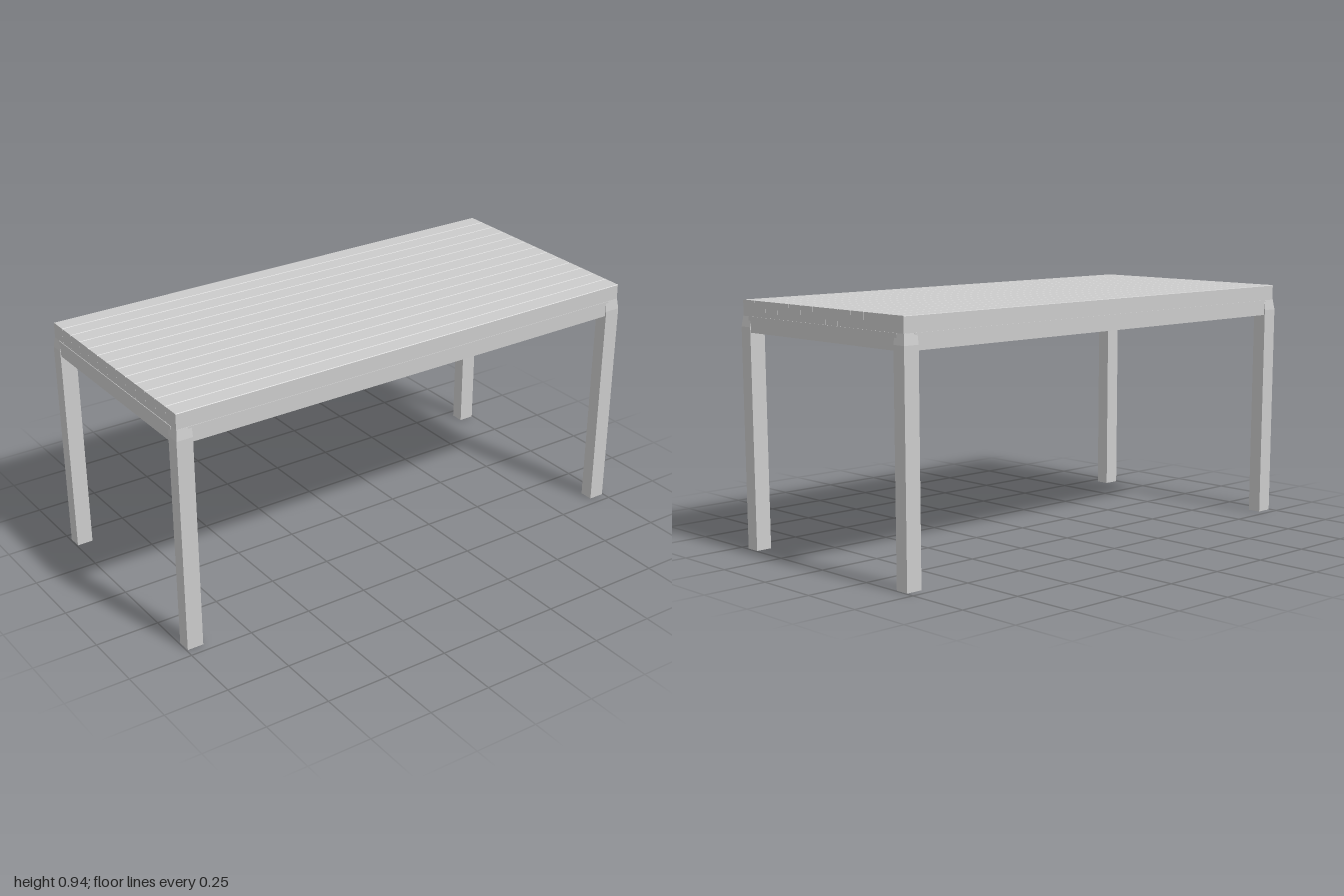
import * as THREE from 'three';

const material = new THREE.MeshStandardMaterial({ color: 0xcccccc, flatShading: true });
const openMaterial = new THREE.MeshStandardMaterial({ color: 0xcccccc, flatShading: true, side: THREE.DoubleSide });

const FRAME_BOTTOM = 0.825, FRAME_TOP = 0.885, TABLE_TOP = 0.945;
const HALF_X = 0.995, HALF_Z = 0.46, RAIL = 0.048;

function addMesh(parent, name, geometry, x, y, z, mat = material) {
  const mesh = new THREE.Mesh(geometry, mat);
  mesh.name = name;
  mesh.position.set(x, y, z);
  parent.add(mesh);
}

// Hollow post, open at the foot, leaning out slightly and drawn in at the shoulder
function legGeometry(sx, sz) {
  const g = new THREE.BoxGeometry(0.064, FRAME_TOP, 0.055, 1, 2, 1);
  const p = g.attributes.position;
  for (let i = 0; i < p.count; i++) {
    const y = p.getY(i) + FRAME_TOP / 2;
    const atFoot = y < 0.01, atTop = y > FRAME_TOP - 0.01;
    const outer = p.getX(i) * sx > 0, outerZ = p.getZ(i) * sz > 0;
    let dx = atFoot ? -0.005 : 0, dz = atFoot ? -0.003 : 0;
    if (atTop && outer) dx = -0.005;
    if (atTop && outerZ) dz = -0.006;
    const level = atFoot ? 0 : atTop ? FRAME_TOP : 0.845;
    p.setXYZ(i, p.getX(i) + sx * dx, level, p.getZ(i) + sz * dz);
  }
  const index = Array.from(g.index.array);
  index.splice(30, 6); // remove the foot cap
  g.setIndex(index);
  g.clearGroups();
  g.computeVertexNormals();
  return g;
}

// Board with finely bevelled upper edges, running along x
function plankGeometry(width) {
  const w = width / 2, h = TABLE_TOP - FRAME_TOP, b = 0.002;
  const s = new THREE.Shape([
    [-w, 0], [w, 0], [w, h - b], [w - b, h], [-w + b, h], [-w, h - b],
  ].map(([x, y]) => new THREE.Vector2(x, y)));
  const g = new THREE.ExtrudeGeometry(s, { depth: HALF_X * 2, bevelEnabled: false });
  return g.translate(0, 0, -HALF_X).rotateY(Math.PI / 2);
}

export function createModel() {
  const table = new THREE.Group();
  table.name = 'slattedTable';

  // Thirteen boards across the top
  const top = new THREE.Group();
  top.name = 'tabletop';
  const count = 13, pitch = (HALF_Z * 2) / count;
  const plank = plankGeometry(pitch - 0.0006);
  for (let i = 0; i < count; i++) {
    addMesh(top, 'plank' + (i + 1), plank, 0, FRAME_TOP, -HALF_Z + pitch * (i + 0.5));
  }
  table.add(top);

  // Four rails under the boards
  const railHeight = FRAME_TOP - FRAME_BOTTOM, railY = (FRAME_TOP + FRAME_BOTTOM) / 2;
  const longRail = new THREE.BoxGeometry(1.9, railHeight, RAIL);
  const endRail = new THREE.BoxGeometry(RAIL, railHeight, 0.85);
  for (const s of [1, -1]) {
    addMesh(table, s > 0 ? 'frontRail' : 'backRail', longRail, 0, railY, s * (HALF_Z + 0.002 - RAIL / 2));
    addMesh(table, s > 0 ? 'leftRail' : 'rightRail', endRail, s * (HALF_X + 0.002 - RAIL / 2), railY, 0);
  }

  // Corner legs
  for (const sx of [1, -1]) for (const sz of [1, -1]) {
    const name = (sz > 0 ? 'front' : 'back') + (sx > 0 ? 'Left' : 'Right') + 'Leg';
    addMesh(table, name, legGeometry(sx, sz), sx * (1 - 0.032), 0, sz * (0.467 - 0.0275), openMaterial);
  }
  return table;
}
